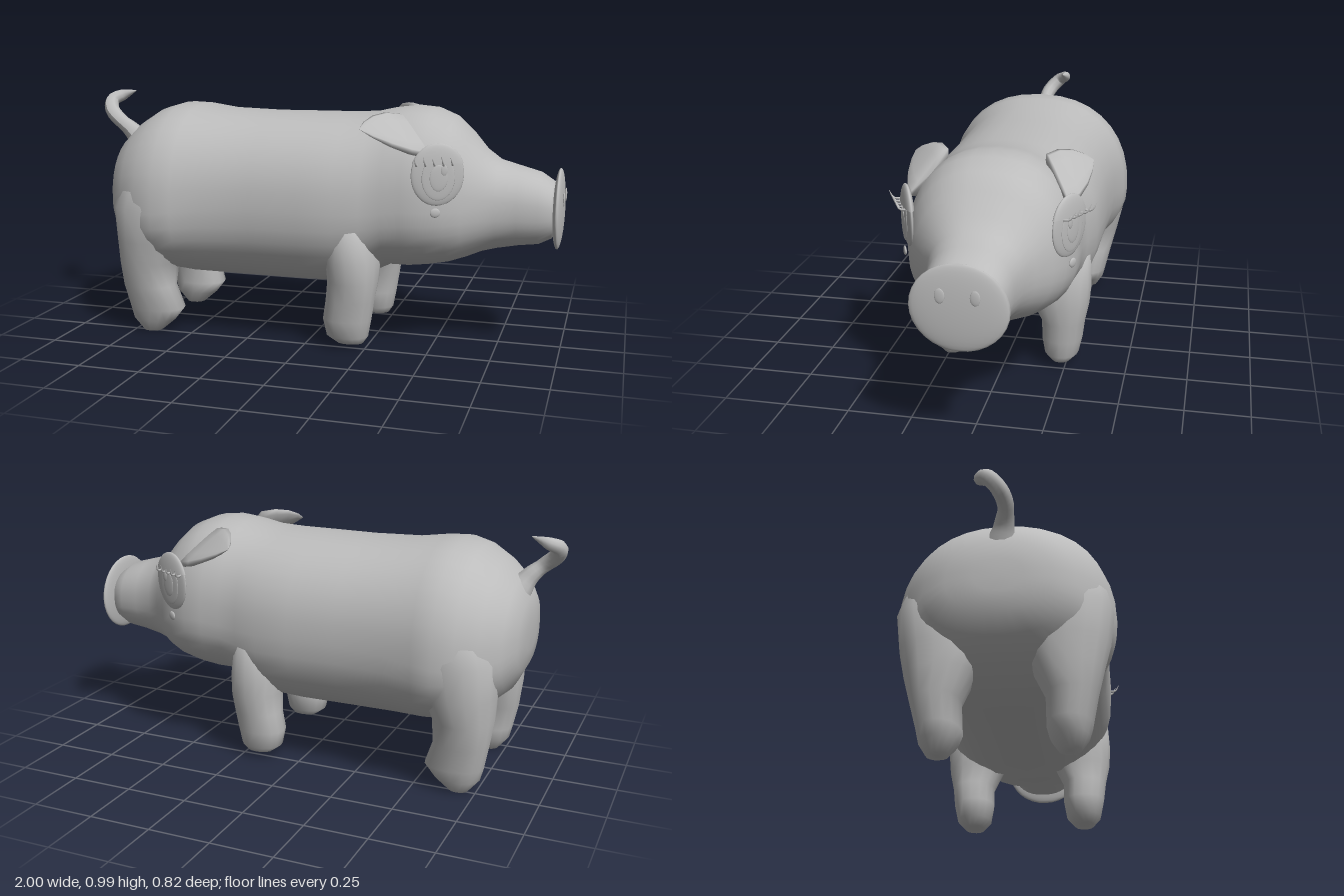
import * as THREE from 'three';

const skin = new THREE.MeshStandardMaterial({ color: 0xbcbcbc, side: THREE.DoubleSide });
skin.name = 'grey skin';

// Skin a series of closed rings; both ends are capped with a centre point.
function loft(rings) {
  const n = rings[0].length;
  const centre = (ring) => {
    const c = ring.reduce((s, p) => s.add(p), new THREE.Vector3()).divideScalar(n);
    return ring.map(() => c);
  };
  const all = [centre(rings[0]), ...rings, centre(rings[rings.length - 1])];
  const index = [];
  for (let i = 0; i < all.length - 1; i++) {
    for (let j = 0; j < n; j++) {
      const k = (j + 1) % n;
      const a = i * n + j, d = i * n + k, b = a + n, c = d + n;
      if (i > 0) index.push(a, d, b);
      if (i < all.length - 2) index.push(d, c, b);
    }
  }
  const geo = new THREE.BufferGeometry().setFromPoints(all.flat());
  geo.setIndex(index);
  geo.computeVertexNormals();
  return geo;
}

function ringOf(n, point) {
  return Array.from({ length: n }, (_, j) => point((j / n) * Math.PI * 2));
}

const power = (v, e) => Math.sign(v) * Math.abs(v) ** e;

// Copy a geometry to the other side of z = 0, keeping faces outward.
function mirrored(geo) {
  const g = geo.clone().scale(1, 1, -1);
  const ix = g.index.array;
  for (let i = 0; i < ix.length; i += 3) [ix[i], ix[i + 1]] = [ix[i + 1], ix[i]];
  return g;
}

// Tube whose radius follows a list of values along its length.
function taperedTube(points, radii, segments = 28, sides = 10) {
  const curve = new THREE.CatmullRomCurve3(points.map((p) => new THREE.Vector3(...p)));
  const geo = new THREE.TubeGeometry(curve, segments, 1, sides);
  const pos = geo.attributes.position, v = new THREE.Vector3();
  for (let i = 0; i <= segments; i++) {
    const c = curve.getPointAt(i / segments);
    const f = (i / segments) * (radii.length - 1);
    const k = Math.min(Math.floor(f), radii.length - 2);
    const r = THREE.MathUtils.lerp(radii[k], radii[k + 1], f - k);
    for (let j = 0; j <= sides; j++) {
      const id = i * (sides + 1) + j;
      v.fromBufferAttribute(pos, id).sub(c).multiplyScalar(r).add(c);
      pos.setXYZ(id, v.x, v.y, v.z);
    }
  }
  geo.computeVertexNormals();
  return geo;
}

// Body and head sections: x, bottom, top, half width, height of the widest point
const BODY = [
  [-0.88, 0.53, 0.66, 0.09, 0.6], [-0.87, 0.46, 0.74, 0.19, 0.58],
  [-0.83, 0.38, 0.81, 0.275, 0.56], [-0.76, 0.32, 0.875, 0.345, 0.54],
  [-0.68, 0.27, 0.925, 0.39, 0.53], [-0.6, 0.245, 0.948, 0.408, 0.53],
  [-0.52, 0.235, 0.945, 0.4, 0.54], [-0.4, 0.23, 0.928, 0.37, 0.55],
  [-0.2, 0.228, 0.922, 0.365, 0.56], [0, 0.228, 0.924, 0.365, 0.56],
  [0.14, 0.235, 0.925, 0.36, 0.56], [0.24, 0.275, 0.932, 0.335, 0.56],
  [0.32, 0.315, 0.95, 0.325, 0.57], [0.4, 0.315, 0.96, 0.33, 0.58],
  [0.48, 0.325, 0.953, 0.325, 0.58], [0.56, 0.34, 0.92, 0.298, 0.58],
  [0.62, 0.36, 0.865, 0.26, 0.58], [0.68, 0.385, 0.795, 0.21, 0.58],
  [0.74, 0.4, 0.752, 0.178, 0.575], [0.82, 0.415, 0.73, 0.16, 0.57],
  [0.9, 0.425, 0.708, 0.15, 0.565], [0.95, 0.45, 0.675, 0.128, 0.565],
  [0.97, 0.48, 0.65, 0.1, 0.565],
];

// Leg sections: y, back x, front x, inner z, outer z
const FRONT_LEG = [
  [0.02, 0.13, 0.24, 0.19, 0.27], [0.05, 0.09, 0.26, 0.16, 0.3],
  [0.12, 0.075, 0.273, 0.148, 0.315], [0.2, 0.088, 0.285, 0.148, 0.325],
  [0.28, 0.095, 0.297, 0.11, 0.342], [0.36, 0.085, 0.3, 0.08, 0.348],
  [0.5, 0.1, 0.28, 0.1, 0.34],
];
const REAR_LEG = [
  [0, -0.72, -0.64, 0.19, 0.27], [0.05, -0.762, -0.58, 0.16, 0.3],
  [0.1, -0.775, -0.54, 0.148, 0.312], [0.2, -0.795, -0.575, 0.148, 0.335],
  [0.3, -0.808, -0.57, 0.1, 0.36], [0.4, -0.812, -0.52, 0.08, 0.383],
  [0.54, -0.815, -0.48, 0.1, 0.4], [0.68, -0.75, -0.5, 0.15, 0.37],
];

function legGeometry(rows) {
  return loft(rows.map(([y, x0, x1, z0, z1]) => ringOf(16, (a) => new THREE.Vector3(
    (x0 + x1) / 2 + power(Math.sin(a), 0.9) * (x1 - x0) / 2, y,
    (z0 + z1) / 2 + power(Math.cos(a), 0.9) * (z1 - z0) / 2))));
}

// Folded ear swept from its base to a backward, outward tip
function earGeometry() {
  const base = new THREE.Vector3(0.43, 0.855, 0.235);
  const dir = new THREE.Vector3(0.25, 0.895, 0.35).sub(base);
  const u = new THREE.Vector3(0.07, -0.075, 0.055);
  const v = dir.clone().cross(u).setLength(0.03);
  const rows = [[0, 1], [0.3, 0.95], [0.6, 0.7], [0.85, 0.35], [1, 0.03]];
  return loft(rows.map(([t, s]) => ringOf(12, (a) => base.clone().addScaledVector(dir, t)
    .addScaledVector(u, Math.cos(a) * s)
    .addScaledVector(v, (Math.sin(a) + 0.5 * Math.cos(a) ** 2) * s))));
}

export function createModel() {
  const pig = new THREE.Group();
  pig.name = 'pig';
  const add = (name, geo) => {
    const mesh = new THREE.Mesh(geo, skin);
    mesh.name = name;
    pig.add(mesh);
  };
  // The pig's head points to +x, so its own sides are named near (+z) and far (-z).
  const addPair = (name, geo) => {
    add(`${name}Near`, geo);
    add(`${name}Far`, mirrored(geo));
  };
  const ball = (rx, ry, rz, x, y, z) =>
    new THREE.SphereGeometry(1, 28, 16).scale(rx, ry, rz).translate(x, y, z);

  // Body, head and muzzle in one smooth skin
  add('body', loft(BODY.map(([x, bottom, top, w, mid]) => ringOf(36, (a) => {
    const c = power(Math.cos(a), 0.88);
    return new THREE.Vector3(x, mid + c * (c > 0 ? top - mid : mid - bottom), power(Math.sin(a), 0.88) * w);
  }))));
  addPair('frontLeg', legGeometry(FRONT_LEG));
  addPair('rearLeg', legGeometry(REAR_LEG));
  addPair('ear', earGeometry());

  // Snout plate with nostrils
  add('snout', ball(0.022, 0.16, 0.176, 0.972, 0.567, 0));
  addPair('nostril', ball(0.004, 0.027, 0.018, 0.993, 0.615, 0.061));

  // Eyes: thin stacked discs turned slightly forward, lid, lashes and a tear
  const place = (geo) => geo.rotateY(0.46).translate(0.54, 0.728, 0.303);
  addPair('eye', place(ball(0.104, 0.118, 0.014, 0, 0, 0)));
  addPair('iris', place(ball(0.065, 0.085, 0.005, 0, -0.01, 0.013)));
  addPair('pupil', place(ball(0.035, 0.05, 0.004, 0, -0.01, 0.017)));
  addPair('eyeGlint', place(ball(0.013, 0.02, 0.003, 0.02, 0.02, 0.02)));
  const lid = new THREE.SphereGeometry(1, 28, 8, 0, Math.PI * 2, 0, 1.2);
  addPair('eyelid', place(lid.scale(0.108, 0.12, 0.022)));
  for (let i = 0; i < 5; i++) {
    const x = -0.085 + i * 0.035;
    addPair(`lash${i + 1}`, place(taperedTube(
      [[x, 0.04, 0.012], [x - 0.008, 0.042, 0.035], [x - 0.02, 0.07 + 0.004 * (i % 2), 0.05]],
      [0.005, 0.004, 0.0005], 6, 5)));
  }
  addPair('tear', place(ball(0.02, 0.018, 0.006, -0.01, -0.143, 0.012)));

  // Curled tail
  add('tail', taperedTube(
    [[-0.81, 0.75, 0], [-0.86, 0.82, 0.02], [-0.91, 0.865, 0.03], [-0.955, 0.905, 0.01],
      [-0.97, 0.945, -0.03], [-0.935, 0.965, -0.06], [-0.87, 0.985, -0.055]],
    [0.06, 0.04, 0.03, 0.032, 0.03, 0.024, 0.002]));
  return pig;
}
